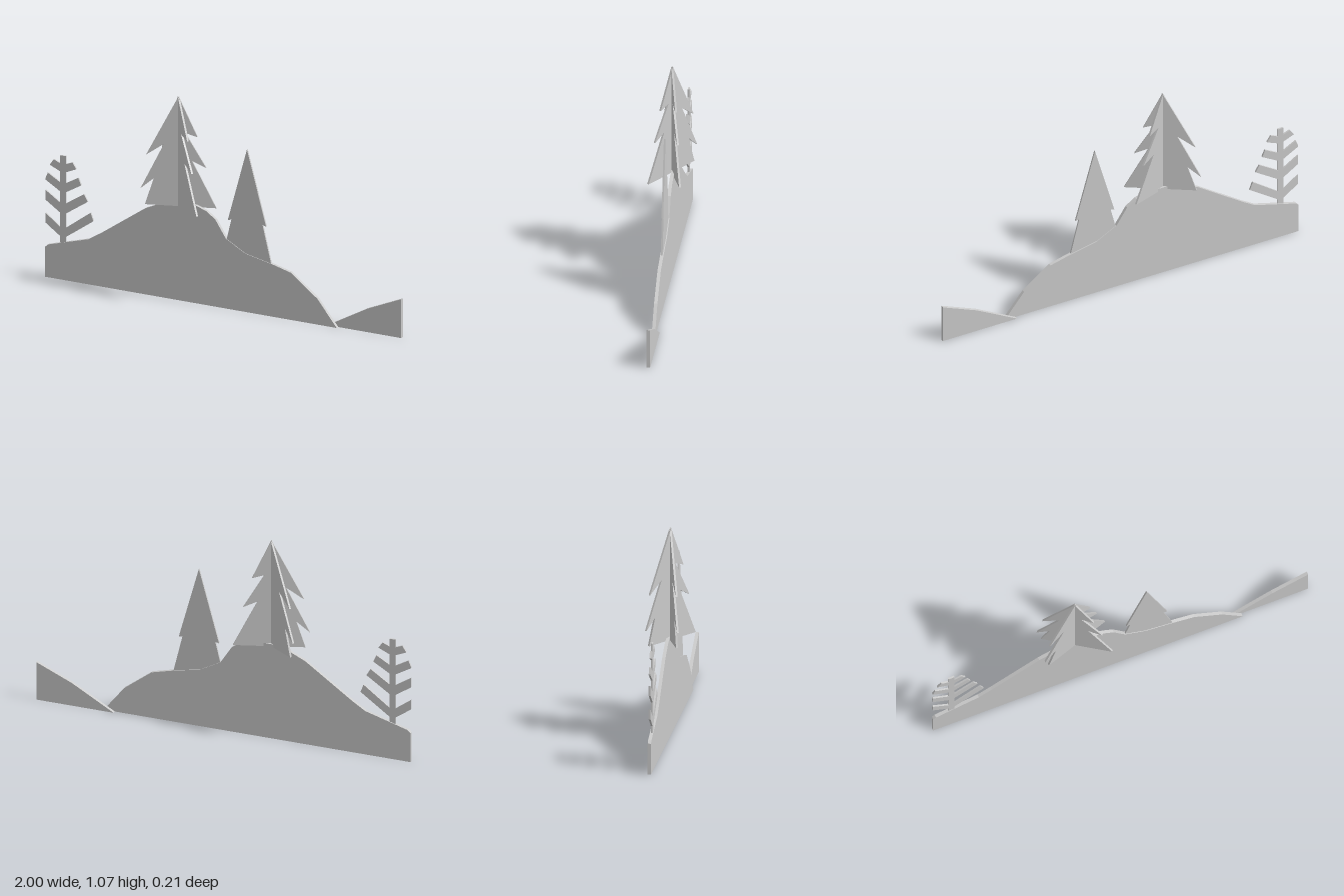
import * as THREE from 'three';

const material = new THREE.MeshStandardMaterial({ color: 0xcccccc, flatShading: true });

// Flat cut-out board: outline in x/y, extruded from z0 to z1
function board(name, points, z0, z1) {
  const shape = new THREE.Shape(points.map(([x, y]) => new THREE.Vector2(x, y)));
  const geometry = new THREE.ExtrudeGeometry(shape, { depth: z1 - z0, bevelEnabled: false });
  geometry.translate(0, 0, z0);
  const mesh = new THREE.Mesh(geometry, material);
  mesh.name = name;
  return mesh;
}

export function createModel() {
  const model = new THREE.Group();
  model.name = 'hillsAndTrees';

  // Main hill, and a smaller hill overlapping just behind it
  model.add(board('mainHill', [
    [-1, 0], [0.645, 0], [0.537, 0.134], [0.388, 0.246], [0.275, 0.275],
    [0.13, 0.305], [0.02, 0.364], [-0.04, 0.455], [-0.09, 0.49], [-0.15, 0.51],
    [-0.27, 0.51], [-0.34, 0.492], [-0.436, 0.449], [-0.687, 0.278],
    [-0.757, 0.235], [-0.985, 0.171], [-1, 0.157],
  ], -0.017, 0));
  model.add(board('rightHill', [
    [0.585, 0], [1, 0], [1, 0.203], [0.81, 0.123],
  ], -0.034, -0.017));

  // Slim pine rooted in the hill
  const half = [[0.136, 0.275], [0.088, 0.468], [0.108, 0.463]];
  model.add(board('slimPine', [
    ...half.map(([x, y]) => [0.137 + x, y]),
    [0.137, 0.848],
    ...half.map(([x, y]) => [0.137 - x, y]).reverse(),
  ], -0.012, -0.003));

  // Large pine made of two crossed panels
  const crossedPine = new THREE.Group();
  crossedPine.name = 'crossedPine';
  crossedPine.position.set(-0.247, 0, 0);
  const pine = [
    [-0.169, 0.493], [0.191, 0.493], [0.068, 0.733], [0.14, 0.70], [0.034, 0.877],
    [0.096, 0.858], [0, 1.065], [-0.163, 0.752], [-0.073, 0.813],
    [-0.191, 0.575], [-0.124, 0.631],
  ];
  [-0.565, 0.32].forEach((angle, i) => {
    const panel = board('pinePanel' + (i + 1), pine, -0.005, 0.005);
    panel.rotation.y = angle;
    crossedPine.add(panel);
  });
  model.add(crossedPine);

  // Bare tree: a trunk with four pairs of rising branches, trimmed at x = -1
  const bareTree = new THREE.Group();
  bareTree.name = 'bareTree';
  const cx = -0.901, r = 0.016, z0 = -0.012, z1 = -0.003;
  bareTree.add(board('trunk', [
    [cx - r, 0.17], [cx + r, 0.17], [cx + r, 0.647], [cx - r, 0.647],
  ], z0, z1));
  // root bottom y, root top y, then the lower and upper tip corners
  const branches = [
    [0.556, 0.599, 0.075, 0.588, 0.053, 0.62],
    [0.449, 0.497, 0.102, 0.508, 0.086, 0.545],
    [0.337, 0.39, 0.139, 0.428, 0.118, 0.465],
    [0.214, 0.262, 0.171, 0.332, 0.155, 0.374],
  ];
  const limit = 1 + cx;
  branches.forEach(([y0, y1, lx, ly, ux, uy], i) => {
    const right = [[0, y0], [lx, ly], [ux, uy], [0, y1]];
    // Keep only the part of the left branch inside the board edge
    const left = [];
    right.forEach((p, k) => {
      const q = right[(k + 1) % 4];
      if (p[0] <= limit) left.push(p);
      if ((p[0] <= limit) !== (q[0] <= limit)) {
        const t = (limit - p[0]) / (q[0] - p[0]);
        left.push([limit, p[1] + t * (q[1] - p[1])]);
      }
    });
    bareTree.add(board('rightBranch' + (i + 1), right.map(([x, y]) => [cx + x, y]), z0, z1));
    bareTree.add(board('leftBranch' + (i + 1), left.map(([x, y]) => [cx - x, y]).reverse(), z0, z1));
  });
  model.add(bareTree);

  return model;
}
